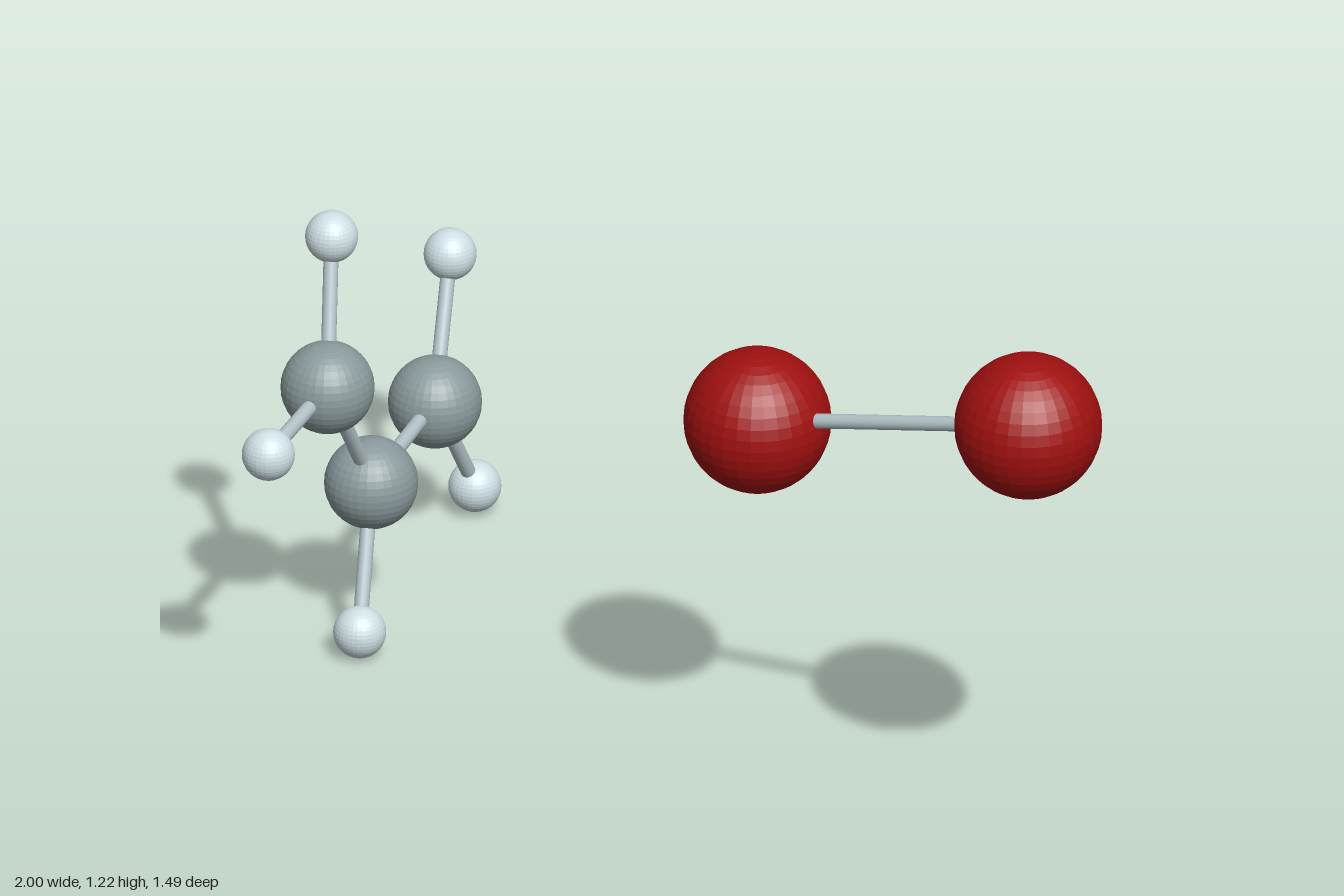
import * as THREE from 'three';

// Atom kinds: radius and colour
const KINDS = {
  carbon: { radius: 0.103, color: 0x8a9a9c },
  hydrogen: { radius: 0.058, color: 0xcfe0e5 },
  bromine: { radius: 0.162, color: 0xa01010 },
};

// Atom name, kind and centre
const ATOMS = [
  ['carbonUpper', 'carbon', -0.897, 0.692, 0.132],
  ['carbonMiddle', 'carbon', -0.868, 0.35, -0.102],
  ['carbonBack', 'carbon', -0.847, 0.35, -0.517],
  ['hydrogenTop', 'hydrogen', -0.929, 0.99, -0.005],
  ['hydrogenFront', 'hydrogen', -0.935, 0.678, 0.455],
  ['hydrogenBottom', 'hydrogen', -0.847, 0.063, 0.055],
  ['hydrogenBackUpper', 'hydrogen', -0.863, 0.628, -0.685],
  ['hydrogenBackLower', 'hydrogen', -0.806, 0.07, -0.683],
  ['bromineInner', 'bromine', 0.16, 0.889, 0.387],
  ['bromineOuter', 'bromine', 0.836, 1.067, 0.581],
];

// Pairs of atoms joined by a rod
const BONDS = [
  ['carbonUpper', 'carbonMiddle'],
  ['carbonMiddle', 'carbonBack'],
  ['carbonUpper', 'hydrogenTop'],
  ['carbonUpper', 'hydrogenFront'],
  ['carbonMiddle', 'hydrogenBottom'],
  ['carbonBack', 'hydrogenBackUpper'],
  ['carbonBack', 'hydrogenBackLower'],
  ['bromineInner', 'bromineOuter'],
];

const BOND_RADIUS = 0.0165;

export function createModel() {
  const model = new THREE.Group();
  model.name = 'moleculeModel';

  // Atoms
  const centres = {};
  const materials = {};
  for (const [kind, { color }] of Object.entries(KINDS)) {
    materials[kind] = new THREE.MeshStandardMaterial({ color, flatShading: true });
  }
  for (const [name, kind, x, y, z] of ATOMS) {
    const atom = new THREE.Mesh(new THREE.SphereGeometry(KINDS[kind].radius, 32, 20), materials[kind]);
    atom.name = name;
    atom.position.set(x, y, z);
    centres[name] = atom.position;
    model.add(atom);
  }

  // Bonds
  const bondMaterial = new THREE.MeshStandardMaterial({ color: 0xb4c4c9 });
  const up = new THREE.Vector3(0, 1, 0);
  for (const [from, to] of BONDS) {
    const a = centres[from];
    const b = centres[to];
    const along = b.clone().sub(a);
    const bond = new THREE.Mesh(
      new THREE.CylinderGeometry(BOND_RADIUS, BOND_RADIUS, along.length(), 16),
      bondMaterial
    );
    bond.name = `bond_${from}_${to}`;
    bond.position.copy(a).add(b).multiplyScalar(0.5);
    bond.quaternion.setFromUnitVectors(up, along.normalize());
    model.add(bond);
  }

  return model;
}
